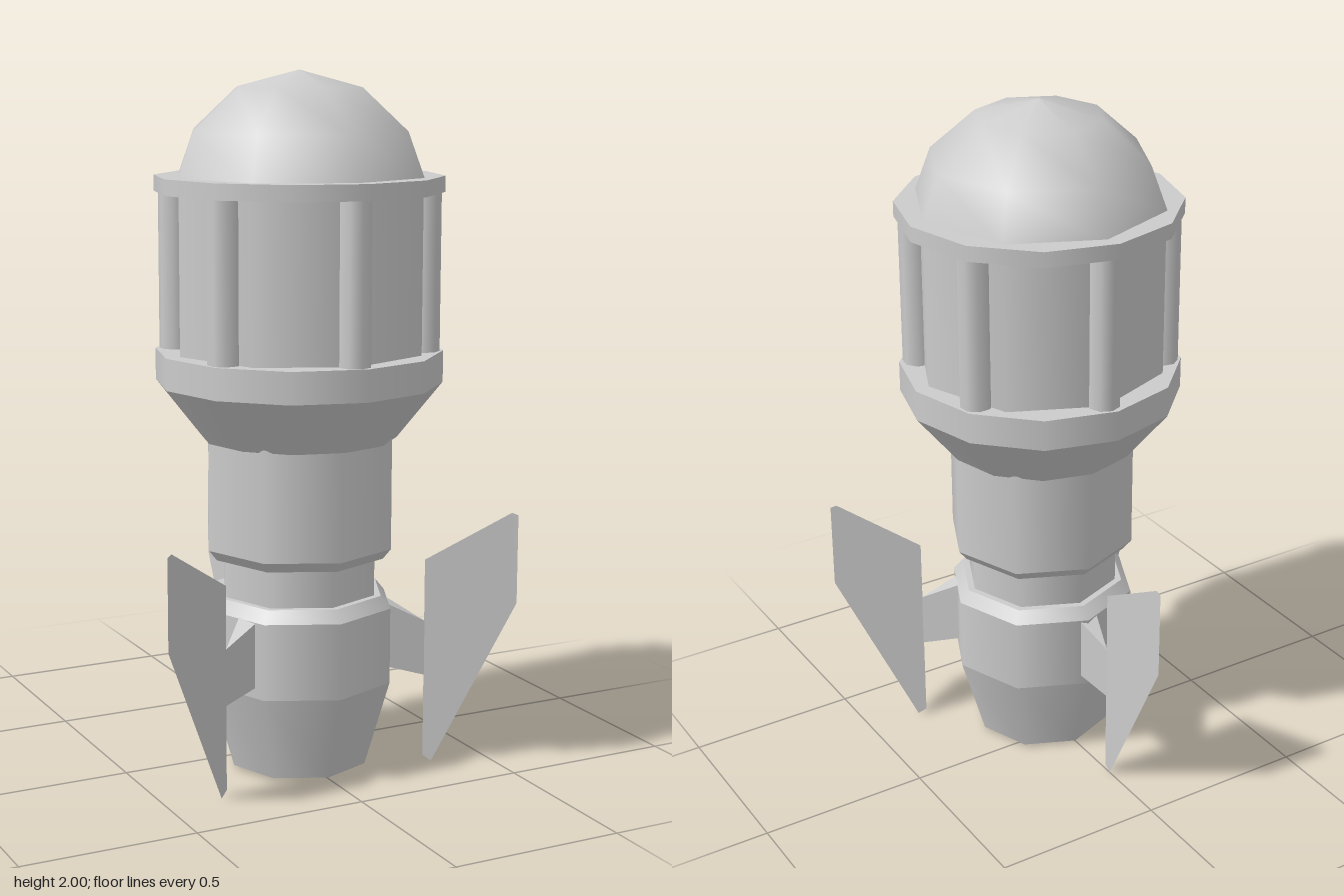
import * as THREE from 'three';
import { mergeGeometries } from 'three/addons/utils/BufferGeometryUtils.js';
import { ConvexGeometry } from 'three/addons/geometries/ConvexGeometry.js';

const TWIST = -0.03; // slight turn of the eight-sided parts
const material = new THREE.MeshStandardMaterial({ color: 0xcccccc });
const thin = new THREE.MeshStandardMaterial({ color: 0xcccccc, side: THREE.DoubleSide });

function add(parent, name, geometry, mat = material) {
  const mesh = new THREE.Mesh(geometry, mat);
  mesh.name = name;
  parent.add(mesh);
  return mesh;
}

// Stack of smooth bands with a hard edge at every profile point [radius, y], bottom to top
function bands(profile, sides) {
  const parts = [];
  for (let i = 0; i < profile.length - 1; i++) {
    const pair = [profile[i], profile[i + 1]].map(([r, y]) => new THREE.Vector2(r, y));
    parts.push(new THREE.LatheGeometry(pair, sides));
  }
  return mergeGeometries(parts);
}

export function createModel() {
  const model = new THREE.Group();
  model.name = 'rocket';
  const body = new THREE.Group();
  body.name = 'body';
  body.position.z = 0.11;
  model.add(body);

  // Open nozzle at the base
  add(body, 'nozzle', bands([[0.205, 0.012], [0.279, 0.265], [0.279, 0.485], [0.25, 0.52], [0.2, 0.52]], 8), thin).rotation.y = TWIST;

  // Narrow waist and wider neck
  add(body, 'waist', bands([[0.23, 0.5], [0.23, 0.64]], 8), thin).rotation.y = TWIST;
  add(body, 'neck', bands([[0, 0.63], [0.255, 0.63], [0.279, 0.66], [0.279, 0.98]], 8), thin).rotation.y = TWIST;

  // Flared collar with a twelve-sided rim
  add(body, 'collar', bands([[0, 0.97], [0.28, 0.97], [0.408, 1.13], [0.408, 1.22], [0, 1.22]], 12));

  // Drum with six columns around it
  add(body, 'drum', bands([[0.362, 1.22], [0.362, 1.67]], 8)).rotation.y = TWIST;
  for (let i = 0; i < 6; i++) {
    const a = i * Math.PI / 3 + TWIST;
    const column = add(body, 'column', new THREE.CylinderGeometry(0.046, 0.046, 0.45, 8));
    column.position.set(Math.sin(a) * 0.352, 1.44, Math.cos(a) * 0.352);
    column.rotation.y = a;
  }

  // Upper rim and dome
  add(body, 'upperRim', bands([[0, 1.665], [0.408, 1.665], [0.408, 1.71], [0, 1.71]], 12));
  const dome = [[0.366, 1.705], [0.317, 1.835], [0.185, 1.953], [0, 2]].map(([r, y]) => new THREE.Vector2(r, y));
  add(body, 'dome', new THREE.LatheGeometry(dome, 8)).rotation.y = TWIST;

  // Three thin fins, each on a wedge-shaped strut
  const blade = new THREE.ShapeGeometry(new THREE.Shape([
    [0.365, 0.02], [0.39, 0.003], [0.63, 0.485], [0.63, 0.745], [0.612, 0.752], [0.365, 0.61],
  ].map(([x, y]) => new THREE.Vector2(x, y))));
  const strut = new ConvexGeometry([
    [0.25, 0.3, 0.034], [0.25, 0.3, -0.034], [0.25, 0.49, 0.034], [0.25, 0.49, -0.034],
    [0.366, 0.265, 0], [0.366, 0.428, 0],
  ].map((p) => new THREE.Vector3(...p)));
  for (let i = 0; i < 3; i++) {
    const fin = new THREE.Group();
    fin.name = 'fin';
    fin.rotation.y = Math.PI / 2 + i * Math.PI * 2 / 3;
    add(fin, 'finBlade', blade, thin);
    add(fin, 'finStrut', strut);
    body.add(fin);
  }

  return model;
}
